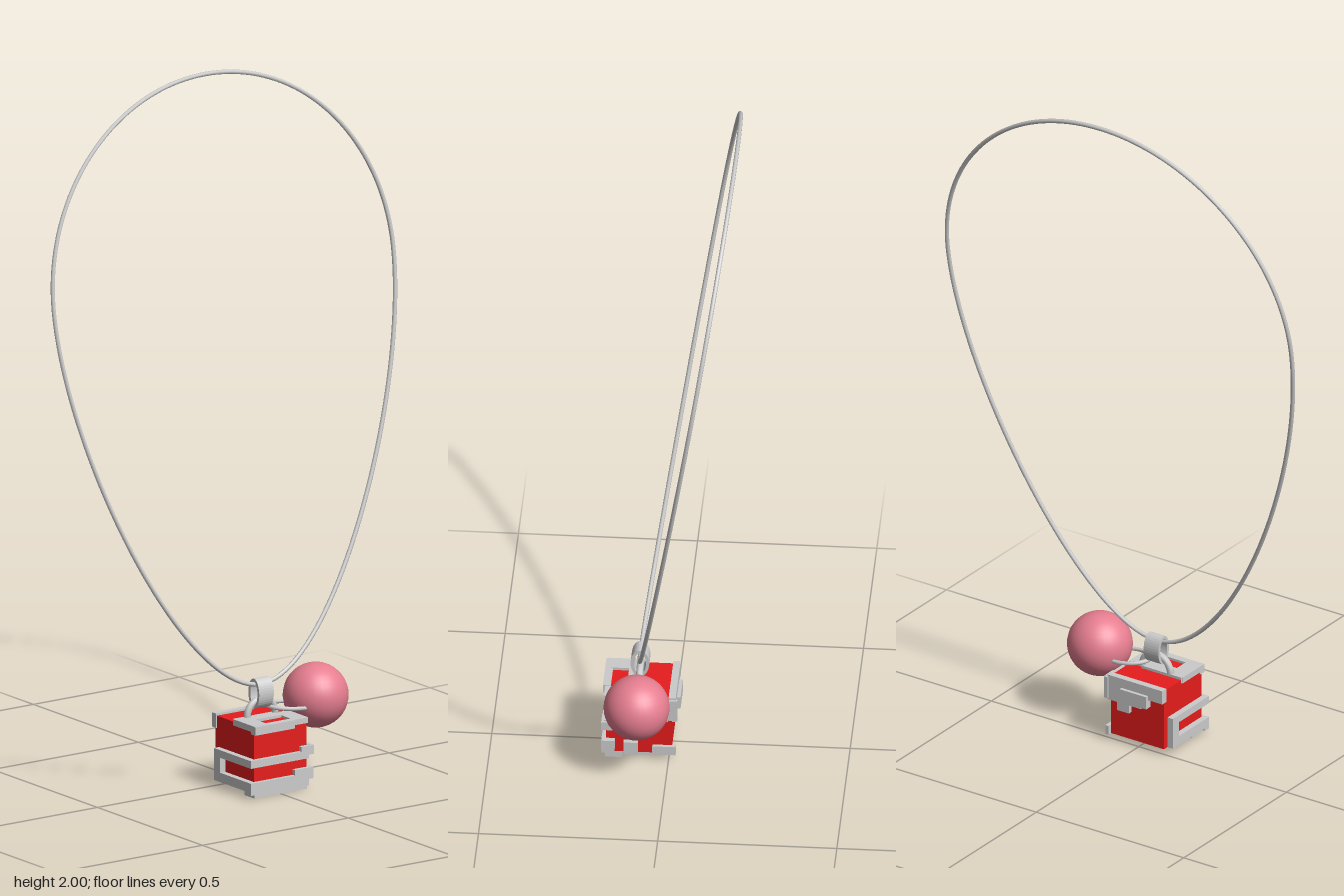
import * as THREE from 'three';

const grey = new THREE.MeshStandardMaterial({ color: 0xcccccc });
const red = new THREE.MeshStandardMaterial({ color: 0xe61c1c });
const pink = new THREE.MeshStandardMaterial({ color: 0xe67e90 });

function add(parent, name, geometry, material, x = 0, y = 0, z = 0) {
  const mesh = new THREE.Mesh(geometry, material);
  mesh.name = name;
  mesh.position.set(x, y, z);
  parent.add(mesh);
  return mesh;
}

// Box given by its extents on each axis
function block(parent, name, [x0, x1], [y0, y1], [z0, z1], material = grey) {
  return add(parent, name, new THREE.BoxGeometry(x1 - x0, y1 - y0, z1 - z0), material,
    (x0 + x1) / 2, (y0 + y1) / 2, (z0 + z1) / 2);
}

// Point of the cord's leaning plane
const onPlane = (x, y) => new THREE.Vector3(x, y, 0.085 - (y - 0.296) * 0.159);

export function createModel() {
  const model = new THREE.Group();
  model.name = 'pendantNecklace';

  // Cord: egg-shaped loop, two curves per side
  const lower = [[0, 0.296], [0.25, 0.296], [0.582, 1.0], [0.582, 1.42]];
  const upper = [[0.582, 1.42], [0.582, 1.74], [0.32, 1.994], [0, 1.994]];
  const mirror = (points) => points.map(([x, y]) => [-x, y]).reverse();
  const path = new THREE.CurvePath();
  for (const points of [lower, upper, mirror(upper), mirror(lower)]) {
    path.add(new THREE.CubicBezierCurve3(...points.map(([x, y]) => onPlane(x, y))));
  }
  add(model, 'cord', new THREE.TubeGeometry(path, 200, 0.0062, 8, true), grey);

  // Bail: flat band looped over the cord
  const band = new THREE.Shape();
  band.absellipse(0, 0, 0.026, 0.043, 0, Math.PI * 2);
  const opening = new THREE.Path();
  opening.absellipse(0, 0, 0.017, 0.034, 0, Math.PI * 2, true);
  band.holes.push(opening);
  const bail = new THREE.ExtrudeGeometry(band, { depth: 0.05, bevelEnabled: false, curveSegments: 16 });
  bail.translate(0, 0, -0.025).rotateY(Math.PI / 2);
  add(model, 'bail', bail, grey, 0, 0.272, 0.085);

  // Arched loop on top of the cube
  add(model, 'cubeLoop', new THREE.TorusGeometry(0.048, 0.01, 8, 24, Math.PI), grey, 0, 0.206, 0.085);

  // Pompom and its oval ring
  const ring = add(model, 'pompomRing', new THREE.TorusGeometry(0.05, 0.006, 8, 32).scale(1.4, 1, 1),
    grey, 0.098, 0.22, 0.085);
  ring.rotation.set(-Math.PI / 2, 0.1, 0);
  add(model, 'pompom', new THREE.SphereGeometry(0.092, 32, 20), pink, 0.189, 0.235, 0.082);

  // Wrapped cube
  const cube = new THREE.Group();
  cube.name = 'cube';
  model.add(cube);
  block(cube, 'core', [-0.09, 0.09], [0.02, 0.2], [-0.007, 0.175], red);

  // Raised strips on each face: name, x, y, z extents
  const strips = [
    ['frontTopStrip', [-0.093, 0.043], [0.183, 0.207], [0.165, 0.187]],
    ['frontMiddleStrip', [-0.108, 0.09], [0.09, 0.112], [0.165, 0.187]],
    ['frontMiddleTab', [0.065, 0.108], [0.1, 0.126], [0.15, 0.187]],
    ['frontBottomStrip', [-0.108, 0.09], [0.012, 0.047], [0.165, 0.187]],
    ['frontBottomTab', [0.043, 0.106], [0.03, 0.063], [0.15, 0.187]],
    ['topLeftStrip', [-0.093, -0.045], [0.19, 0.208], [0.08, 0.18]],
    ['topCrossStrip', [-0.09, 0.045], [0.19, 0.208], [0.077, 0.12]],
    ['topRightFrontStrip', [0.045, 0.093], [0.19, 0.206], [0.085, 0.18]],
    ['rightTopStrip', [0.089, 0.1], [0.135, 0.2], [-0.025, 0.09]],
    ['rightTopTab', [0.089, 0.115], [0.14, 0.19], [0.0, 0.04]],
    ['rightMiddleStrip', [0.089, 0.1], [0.1, 0.128], [0.125, 0.18]],
    ['rightBottomTab', [0.089, 0.106], [0.02, 0.06], [0.085, 0.125]],
    ['rightBackStrip', [0.089, 0.1], [0.02, 0.047], [-0.02, 0.045]],
    ['backTopStrip', [-0.093, 0.093], [0.165, 0.206], [-0.02, 0]],
    ['backStepStrip', [-0.02, 0.093], [0.13, 0.165], [-0.02, 0]],
    ['backRaisedTab', [-0.045, 0.045], [0.14, 0.178], [-0.03, 0]],
    ['backLowerTab', [0.02, 0.06], [0.105, 0.13], [-0.02, 0]],
    ['leftMiddleStrip', [-0.108, -0.089], [0.09, 0.112], [0.01, 0.18]],
    ['leftBottomStrip', [-0.108, -0.089], [0.02, 0.047], [0.01, 0.18]],
    ['leftJoin', [-0.108, -0.089], [0.047, 0.09], [0.01, 0.04]],
    ['bottomFrontStrip', [-0.09, 0.09], [0, 0.025], [0.13, 0.178]],
    ['bottomMiddleStrip', [-0.09, 0.09], [0.012, 0.025], [0.045, 0.1]],
  ];
  for (const strip of strips) block(cube, ...strip);

  return model;
}
